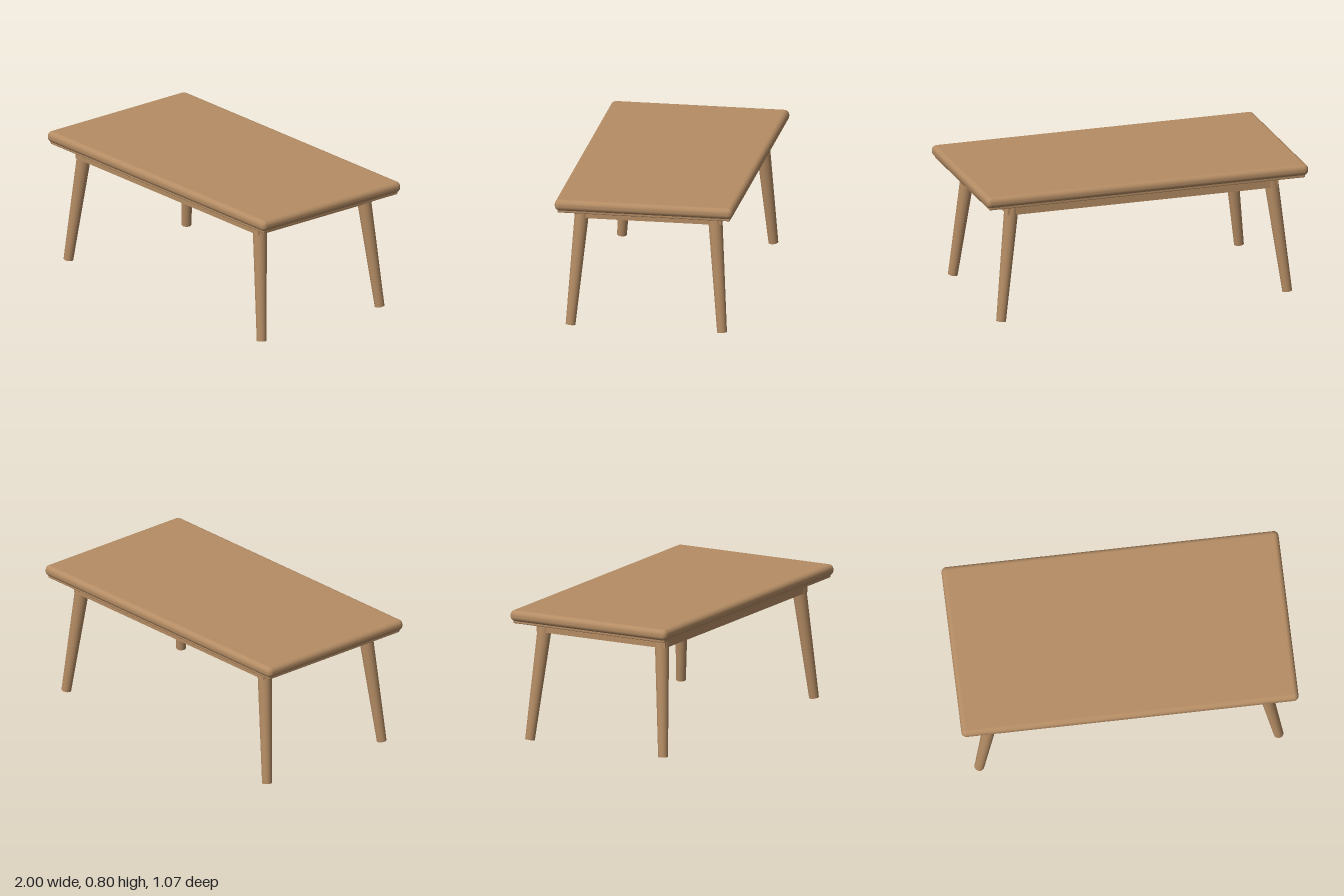
import * as THREE from 'three';
import { RoundedBoxGeometry } from 'three/addons/geometries/RoundedBoxGeometry.js';

export function createModel() {
  const table = new THREE.Group();
  table.name = 'coffeeTable';
  const wood = new THREE.MeshStandardMaterial({ color: 0xb48c64 });
  wood.name = 'warm wood';

  const add = (name, geometry, x, y, z) => {
    const mesh = new THREE.Mesh(geometry, wood);
    mesh.name = name;
    mesh.position.set(x, y, z);
    table.add(mesh);
    return mesh;
  };

  // Rounded top slab with a slightly smaller panel beneath it
  add('tableTop', new RoundedBoxGeometry(2, 0.067, 1.066, 6, 0.03), 0, 0.7665, 0);
  add('underPanel', new RoundedBoxGeometry(1.96, 0.03, 1.03, 3, 0.006), 0, 0.735, 0);

  // Apron frame joining the legs
  const outerX = 0.84, outerZ = 0.437, thick = 0.05;
  for (const side of [-1, 1]) {
    add(side > 0 ? 'frontApron' : 'backApron',
      new THREE.BoxGeometry(outerX * 2, 0.072, thick), 0, 0.686, side * (outerZ - thick / 2));
    add(side > 0 ? 'leftApron' : 'rightApron',
      new THREE.BoxGeometry(thick, 0.072, (outerZ - thick) * 2), side * (outerX - thick / 2), 0.686, 0);
  }

  // Splayed legs, tapering towards the feet and cut square to their axis
  const up = new THREE.Vector3(0, 1, 0);
  for (const sx of [-1, 1]) for (const sz of [-1, 1]) {
    const foot = new THREE.Vector3(sx * 0.888, 0.005, sz * 0.453);
    const head = new THREE.Vector3(sx * 0.801, 0.725, sz * 0.395);
    const axis = head.clone().sub(foot);
    const centre = foot.clone().add(head).multiplyScalar(0.5);
    const name = (sz > 0 ? 'front' : 'back') + (sx > 0 ? 'Left' : 'Right') + 'Leg';
    const leg = add(name, new THREE.CylinderGeometry(0.043, 0.029, axis.length(), 32),
      centre.x, centre.y, centre.z);
    leg.quaternion.setFromUnitVectors(up, axis.normalize());
  }
  return table;
}
